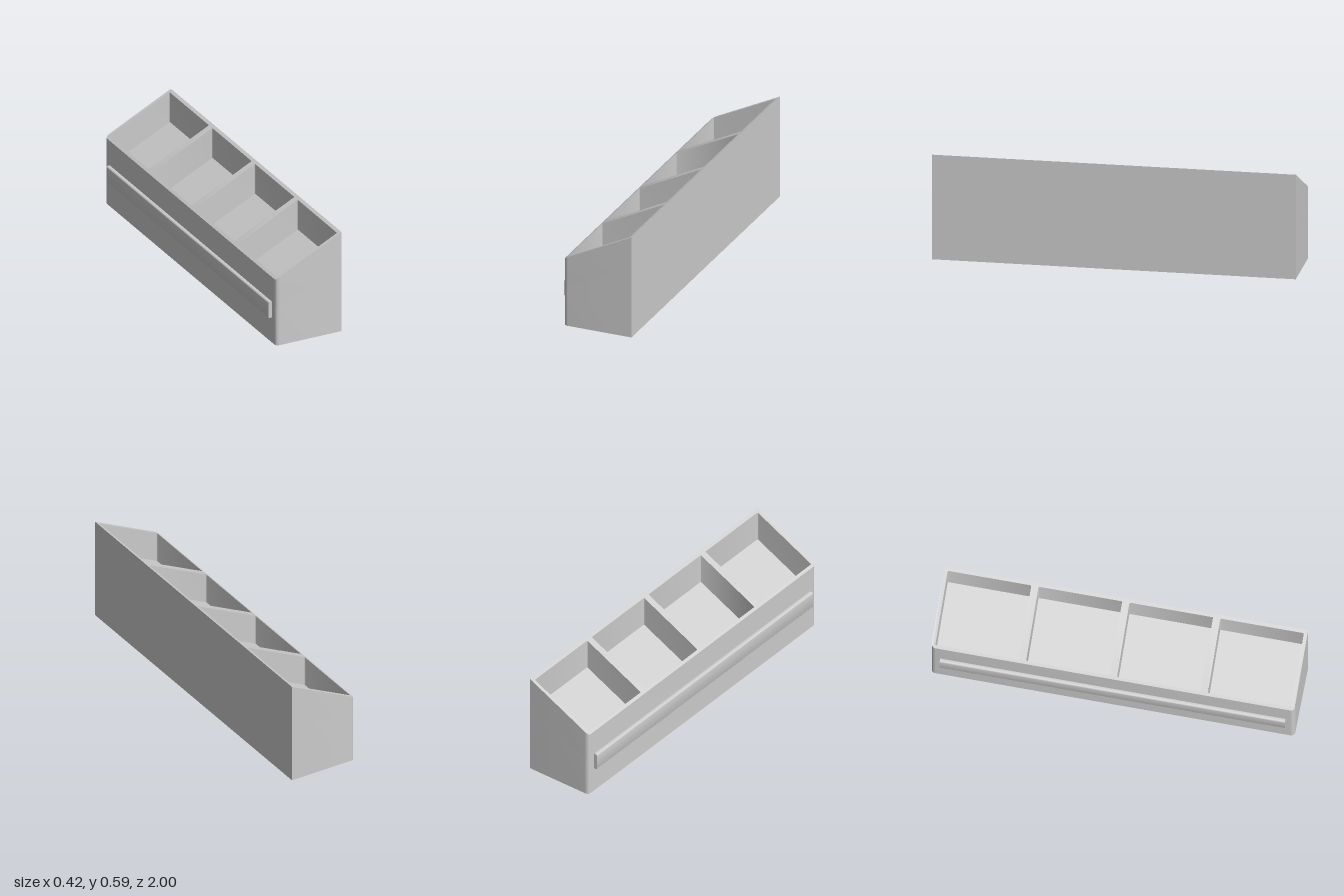
import * as THREE from 'three';
import { toCreasedNormals } from 'three/addons/utils/BufferGeometryUtils.js';

const BACK = 0.21, FRONT = -0.19, HALF = 1, CORNER = 0.022, POCKET_DEPTH = 0.178;
const material = new THREE.MeshStandardMaterial({ color: 0xcccccc });

// Sloped rim height; it dips a little more at the rounded low edge
const rimY = (x) => 0.41 + (x + 0.165) * (x < -0.165 ? 0.68 : 0.493);
const floorY = (x) => 0.41 + (x + 0.165) * 0.493 - POCKET_DEPTH;

// Plan outline with rounded corners on the low side only
function outline() {
  const s = new THREE.Shape();
  s.moveTo(BACK, -HALF);
  s.lineTo(BACK, HALF);
  s.lineTo(FRONT + CORNER, HALF);
  s.absarc(FRONT + CORNER, HALF - CORNER, CORNER, Math.PI / 2, Math.PI, false);
  s.lineTo(FRONT, -HALF + CORNER);
  s.absarc(FRONT + CORNER, -HALF + CORNER, CORNER, Math.PI, Math.PI * 1.5, false);
  s.closePath();
  return s;
}

// Rounded rectangle path
function roundedRect(path, x0, y0, x1, y1, r) {
  path.moveTo(x0 + r, y0);
  path.absarc(x1 - r, y0 + r, r, -Math.PI / 2, 0, false);
  path.absarc(x1 - r, y1 - r, r, 0, Math.PI / 2, false);
  path.absarc(x0 + r, y1 - r, r, Math.PI / 2, Math.PI, false);
  path.absarc(x0 + r, y0 + r, r, Math.PI, Math.PI * 1.5, false);
  path.closePath();
  return path;
}

// Upright extrusion whose bottom and top follow height rules in x
function slopedPrism(name, shape, bottom, top) {
  const g = new THREE.ExtrudeGeometry(shape, { depth: 1, bevelEnabled: false, curveSegments: 6 });
  g.rotateX(-Math.PI / 2);
  const p = g.attributes.position;
  for (let i = 0; i < p.count; i++) {
    const x = p.getX(i);
    p.setY(i, p.getY(i) > 0.5 ? top(x) : bottom(x));
  }
  const mesh = new THREE.Mesh(toCreasedNormals(g, 0.5), material);
  mesh.name = name;
  return mesh;
}

export function createModel() {
  const model = new THREE.Group();
  model.name = 'compartmentBin';

  // Solid base; its sloped top forms the compartment floors
  model.add(slopedPrism('base', outline(), () => 0, floorY));

  // Walls and dividers around four equal compartments
  const walls = outline();
  for (let i = 0; i < 4; i++) {
    const z = (i - 1.5) * 0.5;
    walls.holes.push(roundedRect(new THREE.Path(), -0.175, z - 0.23, 0.192, z + 0.23, 0.005));
  }
  model.add(slopedPrism('compartmentWalls', walls, floorY, rimY));

  // Long rail on the low side
  const profile = new THREE.Shape();
  profile.moveTo(FRONT + 0.002, 0.15);
  profile.lineTo(FRONT + 0.002, 0.246);
  profile.lineTo(-0.202, 0.246);
  profile.absarc(-0.202, 0.238, 0.008, Math.PI / 2, Math.PI, false);
  profile.absarc(-0.202, 0.158, 0.008, Math.PI, Math.PI * 1.5, false);
  profile.closePath();
  const railGeometry = new THREE.ExtrudeGeometry(profile, { depth: 1.9, bevelEnabled: false, curveSegments: 6 });
  railGeometry.translate(0, 0, -0.95);
  const rail = new THREE.Mesh(toCreasedNormals(railGeometry, 0.5), material);
  rail.name = 'frontRail';
  model.add(rail);

  return model;
}
